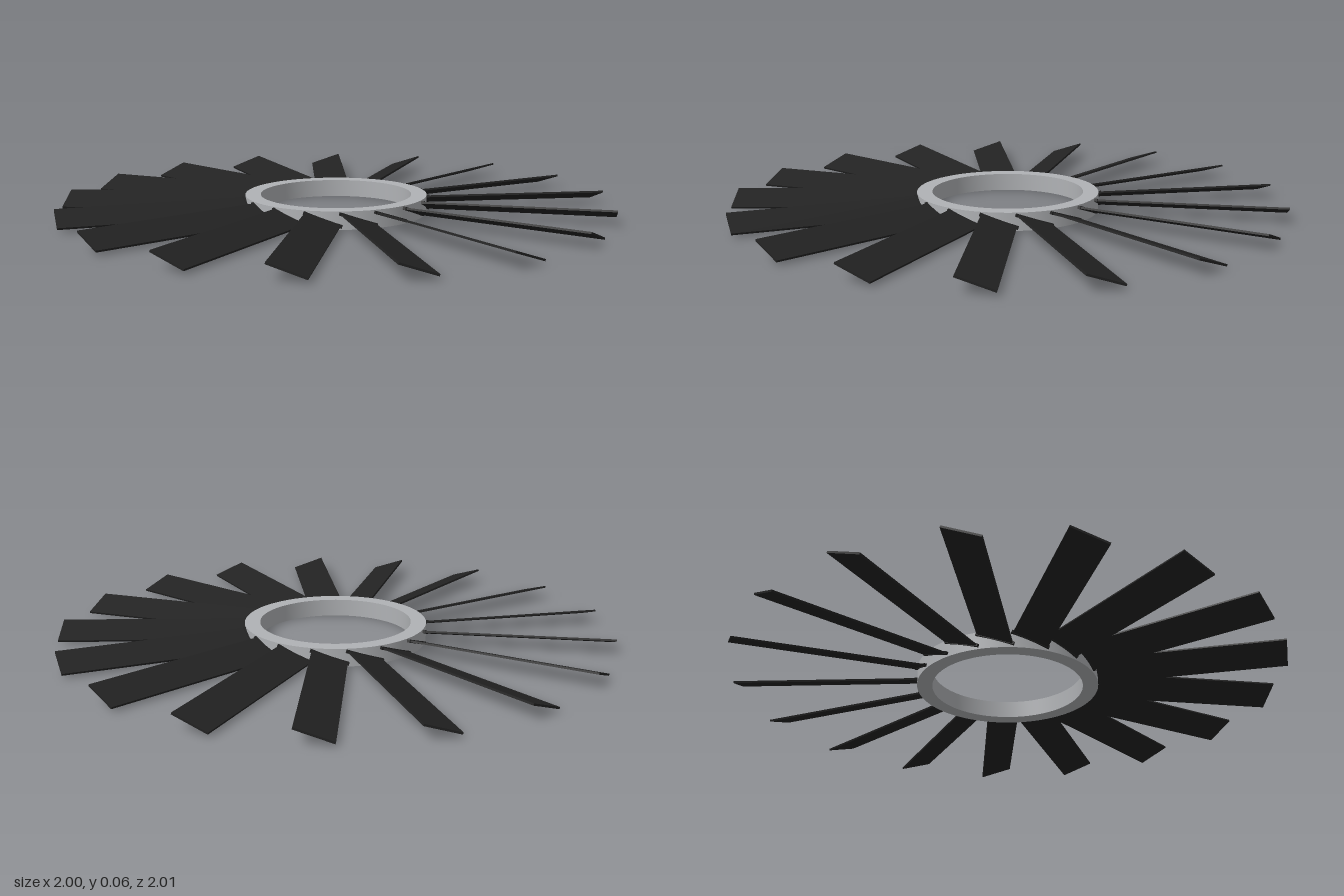
import * as THREE from 'three';
import { toCreasedNormals } from 'three/addons/utils/BufferGeometryUtils.js';

const BLADES = 17;
const TILT = -0.33;
const MID_Y = 0.034;

export function createModel() {
  const model = new THREE.Group();
  model.name = 'fanWheel';
  const silver = new THREE.MeshStandardMaterial({ name: 'silver', color: 0xb0b2b5 });
  const black = new THREE.MeshStandardMaterial({ name: 'black', color: 0x222222 });

  // Hub ring with an open centre
  const profile = new THREE.Shape().absarc(0, 0, 0.332, 0, Math.PI * 2, false);
  profile.holes.push(new THREE.Path().absarc(0, 0, 0.276, 0, Math.PI * 2, true));
  const ringGeometry = new THREE.ExtrudeGeometry(profile, {
    depth: 0.064, bevelEnabled: false, curveSegments: 64,
  });
  ringGeometry.rotateX(-Math.PI / 2);
  const ring = new THREE.Mesh(toCreasedNormals(ringGeometry, 0.5), silver);
  ring.name = 'hubRing';
  model.add(ring);

  // Flat tilted plate running outwards from one radius to another
  const plate = (inner, outer, thickness, width) => {
    const geometry = new THREE.BoxGeometry(outer - inner, thickness, width);
    geometry.rotateX(TILT);
    geometry.translate((inner + outer) / 2, MID_Y, 0);
    return geometry;
  };
  const bladeGeometry = plate(0.3, 1.003, 0.007, 0.129);
  const rootGeometry = plate(0.3, 0.336, 0.011, 0.14);

  // Blades with their roots, spaced evenly round the ring
  for (let i = 0; i < BLADES; i++) {
    const arm = new THREE.Group();
    arm.name = `bladeArm${i + 1}`;
    const blade = new THREE.Mesh(bladeGeometry, black);
    blade.name = 'blade';
    const root = new THREE.Mesh(rootGeometry, black);
    root.name = 'bladeRoot';
    arm.add(blade, root);
    arm.rotation.y = Math.PI + (i * Math.PI * 2) / BLADES;
    model.add(arm);
  }

  // An odd blade count sits slightly off centre
  model.position.x = 0.003;
  return model;
}
